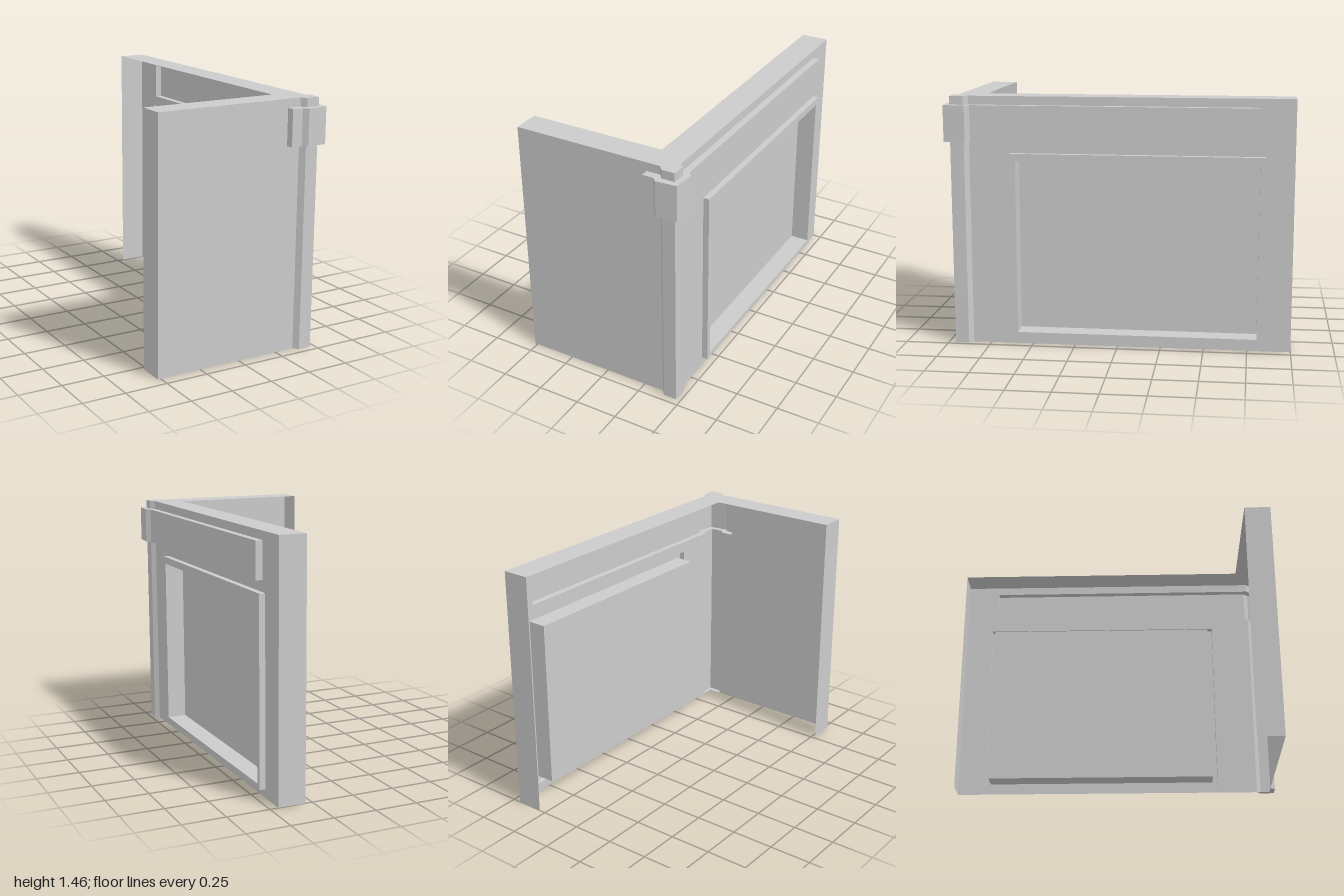
import * as THREE from 'three';
import { mergeGeometries } from 'three/addons/utils/BufferGeometryUtils.js';

const H = 1.455, BAND_LOW = 1.195, BAND_HIGH = 1.405;

// Plan outlines as [x, z], running along the front and then back along the side
const post = [[0.37, 0.93], [0.395, 0.96], [0.472, 0.96], [0.475, 0.88], [0.45, 0.855]];
const band = [[0.29, 0.93], [0.29, 0.975], [0.355, 0.975], [0.38, 1.0], [0.502, 0.99],
  [0.512, 0.865], [0.488, 0.84], [0.49, -0.805], [0.45, -0.805]];
const frontEnd = [-0.517, 0.93], sideEnd = [0.45, -1];

const material = new THREE.MeshStandardMaterial({ color: 0xcccccc, side: THREE.DoubleSide });

// Upright flat-faced sheet following a plan path
function sheet(path, y0, y1) {
  const pos = [];
  for (let i = 0; i < path.length - 1; i++) {
    const [ax, az] = path[i], [bx, bz] = path[i + 1];
    pos.push(ax, y0, az, bx, y0, bz, bx, y1, bz, ax, y0, az, bx, y1, bz, ax, y1, az);
  }
  const g = new THREE.BufferGeometry();
  g.setAttribute('position', new THREE.Float32BufferAttribute(pos, 3));
  g.computeVertexNormals();
  return g;
}

// Level face filling a plan outline, facing up or down
function level(outline, y, up = true) {
  const shape = new THREE.Shape(outline.map(([x, z]) => new THREE.Vector2(x, -z)));
  const g = new THREE.ShapeGeometry(shape).rotateX(-Math.PI / 2);
  if (!up) {
    const ix = g.index.array;
    for (let i = 0; i < ix.length; i += 3) [ix[i], ix[i + 1]] = [ix[i + 1], ix[i]];
    g.computeVertexNormals();
  }
  return g.translate(0, y, 0);
}

// Rectangle on the side wall: zb back, zf front, y0 low, y1 high
const rectPoints = ({ zb, zf, y0, y1 }) =>
  [[-zf, y0], [-zb, y0], [-zb, y1], [-zf, y1]].map(([u, v]) => new THREE.Vector2(u, v));

// Face at a given x, facing +x, with an optional rectangular hole
function sideFace(rect, x, hole) {
  const shape = new THREE.Shape(rectPoints(rect));
  if (hole) shape.holes.push(new THREE.Path(rectPoints(hole)));
  return new THREE.ShapeGeometry(shape).rotateY(Math.PI / 2).translate(x, 0, 0);
}

// Four walls running along x around a rectangle
function sleeve(rect, xFrom, xTo) {
  const p = rectPoints(rect), pos = [];
  p.forEach((a, i) => {
    const b = p[(i + 1) % 4];
    pos.push(xFrom, a.y, -a.x, xFrom, b.y, -b.x, xTo, b.y, -b.x,
      xFrom, a.y, -a.x, xTo, b.y, -b.x, xTo, a.y, -a.x);
  });
  const g = new THREE.BufferGeometry();
  g.setAttribute('position', new THREE.Float32BufferAttribute(pos, 3));
  g.computeVertexNormals();
  return g;
}

export function createModel() {
  const group = new THREE.Group();
  const add = (name, ...parts) => {
    const flat = parts.map((p) => {
      const g = p.index ? p.toNonIndexed() : p;
      g.deleteAttribute('uv');
      return g;
    });
    const mesh = new THREE.Mesh(mergeGeometries(flat), material);
    mesh.name = name;
    group.add(mesh);
  };

  const frame = { zb: -0.835, zf: 0.615, y0: 0.05, y1: 1.13 };
  const opening = { zb: -0.805, zf: 0.583, y0: 0.078, y1: 1.087 };
  const full = [frontEnd, ...post, sideEnd];

  // Outer skin below, beside and above the band
  add('frontWall', sheet([frontEnd, post[0]], 0, BAND_LOW), sheet([frontEnd, band[0]], BAND_LOW, BAND_HIGH));
  add('cornerPost', sheet(post, 0, BAND_LOW), level([...post, [0.45, 0.93]], 0, false));
  add('sideWall',
    sideFace({ zb: -1, zf: 0.855, y0: 0, y1: BAND_LOW }, 0.45, frame),
    sheet([band[band.length - 1], sideEnd], BAND_LOW, BAND_HIGH));
  add('upperWall', sheet(full, BAND_HIGH, H));

  // Top rim and the two end faces
  add('topRim', level([...full, [0.29, -1], [0.29, 0.775], [-0.517, 0.775]], H));
  add('endFaces',
    sheet([[-0.517, 0.775], frontEnd], 0, H),
    sheet([sideEnd, [0.29, -1]], 0, H));

  // Raised band wrapping the corner, with ledges above and below
  const ledge = [...band, ...[...post].reverse()];
  add('cornerBand', sheet(band, BAND_LOW, BAND_HIGH),
    level(ledge, BAND_HIGH), level(ledge, BAND_LOW, false));

  // Raised frame and the recessed panel inside it
  add('panelFrame', sleeve(frame, 0.45, 0.485), sideFace(frame, 0.485, opening));
  add('recessedPanel', sleeve(opening, 0.485, 0.37), sideFace(opening, 0.37));

  return group;
}
